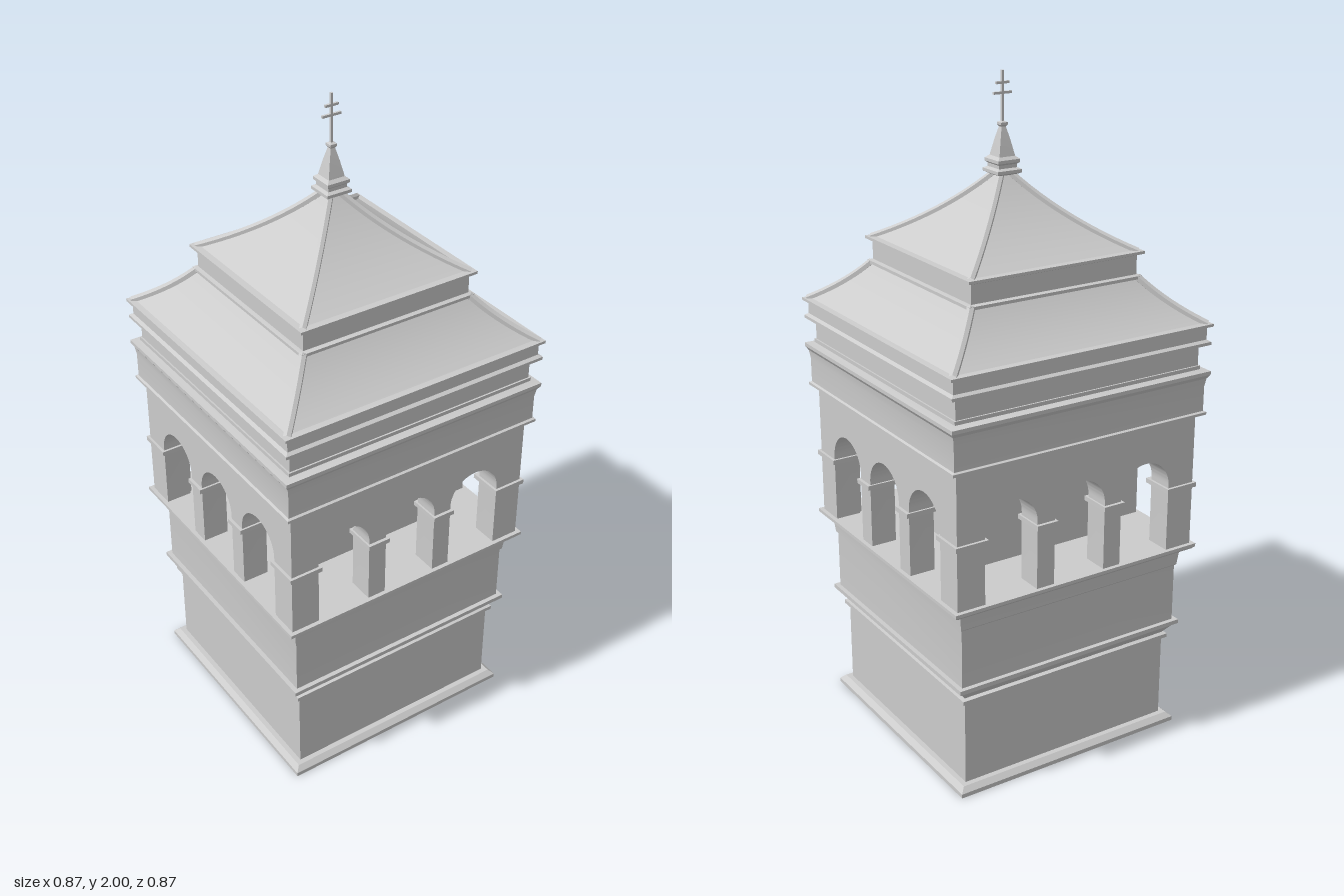
import * as THREE from 'three';
import { toCreasedNormals } from 'three/addons/utils/BufferGeometryUtils.js';

const material = new THREE.MeshStandardMaterial({ color: 0xcccccc });

function addMesh(parent, name, geometry, x = 0, y = 0, z = 0) {
  const mesh = new THREE.Mesh(geometry, material);
  mesh.name = name;
  mesh.position.set(x, y, z);
  parent.add(mesh);
  return mesh;
}

// Sweeps a [halfWidth, y] profile round a square plan
function squareLathe(profile) {
  const points = profile.map(([half, y]) => new THREE.Vector2(half * Math.SQRT2, y));
  return toCreasedNormals(new THREE.LatheGeometry(points, 4, Math.PI / 4), 0.35);
}

// Samples a hollow-curved roof slope between its eave and its top
function roofSlope(eave, middle, top, steps = 10) {
  const curve = new THREE.QuadraticBezierCurve(
    new THREE.Vector2(...eave), new THREE.Vector2(...middle), new THREE.Vector2(...top));
  return curve.getPoints(steps).map(p => [p.x, p.y]);
}

// Capping ribs along the four hips of a roof
function addHipRibs(parent, name, slope, radius) {
  const path = new THREE.CatmullRomCurve3(slope.map(([h, y]) => new THREE.Vector3(h, y, h)));
  const rib = toCreasedNormals(new THREE.TubeGeometry(path, 12, radius, 6), 0.4);
  for (let i = 0; i < 4; i++) addMesh(parent, name, rib).rotation.y = i * Math.PI / 2;
}

// One gallery wall with three round-headed openings standing on the floor
function arcadeWall() {
  const half = 0.405, floor = 0.62, spring = 0.83, radius = 0.086, depth = 0.08;
  const shape = new THREE.Shape();
  shape.moveTo(-half, floor);
  for (const cx of [-0.23, 0, 0.23]) {
    shape.lineTo(cx - radius, floor);
    shape.lineTo(cx - radius, spring);
    shape.absarc(cx, spring, radius, Math.PI, 0, true);
    shape.lineTo(cx + radius, floor);
  }
  shape.lineTo(half, floor);
  shape.lineTo(half, 1.037);
  shape.lineTo(-half, 1.037);
  shape.closePath();
  const geometry = new THREE.ExtrudeGeometry(shape, { depth, bevelEnabled: false, curveSegments: 20 });
  geometry.translate(0, 0, half - depth);
  return toCreasedNormals(geometry, 0.4);
}

export function createModel() {
  const tower = new THREE.Group();
  tower.name = 'bellTower';

  // Lower storeys with plinth, string courses and the gallery floor
  addMesh(tower, 'lowerStoreys', squareLathe([
    [0.345, 0], [0.385, 0], [0.385, 0.013], [0.37, 0.027], [0.354, 0.027],
    [0.354, 0.293], [0.366, 0.293], [0.366, 0.305], [0.354, 0.308],
    [0.383, 0.345], [0.389, 0.345], [0.389, 0.358], [0.375, 0.358],
    [0.375, 0.54], [0.38, 0.545], [0.385, 0.592], [0.39, 0.598], [0.41, 0.602],
    [0.418, 0.61], [0.418, 0.62], [0.2, 0.62],
  ]));

  // Hollow inside, narrowing at a ledge
  addMesh(tower, 'lowerInterior', squareLathe([
    [0, 0.58], [0.26, 0.58], [0.26, 0.3], [0.345, 0.3], [0.345, 0],
  ]));

  // Solid core behind the gallery
  addMesh(tower, 'galleryCore', new THREE.BoxGeometry(0.4, 0.39, 0.4), 0, 0.81, 0);

  // Arcaded gallery, one side repeated four times
  const wall = arcadeWall();
  for (let i = 0; i < 4; i++) {
    const side = new THREE.Group();
    side.name = 'gallerySide';
    side.rotation.y = i * Math.PI / 2;
    addMesh(side, 'arcadeWall', wall);
    for (const x of [-0.115, 0.115]) {
      addMesh(side, 'pierImpost', new THREE.BoxGeometry(0.07, 0.014, 0.1), x, 0.812, 0.365);
    }
    addMesh(side, 'cornerImpost', new THREE.BoxGeometry(0.105, 0.014, 0.105), 0.361, 0.812, 0.361);
    tower.add(side);
  }

  // Entablature from the gallery ceiling to the eaves
  addMesh(tower, 'entablature', squareLathe([
    [0, 1], [0.4, 1], [0.4, 1.034], [0.427, 1.034], [0.427, 1.042], [0.42, 1.045],
    [0.42, 1.12], [0.424, 1.145], [0.432, 1.157], [0.432, 1.168], [0.41, 1.172],
    [0.41, 1.183], [0.405, 1.183], [0.405, 1.243], [0.43, 1.247], [0.43, 1.256],
    [0.42, 1.262], [0.42, 1.297], [0.433, 1.302], [0.433, 1.31], [0.415, 1.312],
  ]));

  // Lower roof, attic band and upper roof
  const lowerSlope = roofSlope([0.42, 1.308], [0.335, 1.36], [0.275, 1.435]);
  addMesh(tower, 'lowerRoof', squareLathe(lowerSlope));
  addHipRibs(tower, 'lowerHipRib', lowerSlope, 0.012);
  addMesh(tower, 'atticBand', squareLathe([
    [0.27, 1.425], [0.286, 1.43], [0.286, 1.439], [0.274, 1.442], [0.274, 1.497],
    [0.29, 1.503], [0.29, 1.511], [0.27, 1.512],
  ]));
  const upperSlope = roofSlope([0.276, 1.508], [0.12, 1.59], [0.012, 1.72], 14);
  addMesh(tower, 'upperRoof', squareLathe(upperSlope));
  addHipRibs(tower, 'upperHipRib', upperSlope, 0.011);

  // Square finial and spike
  addMesh(tower, 'finial', squareLathe([
    [0, 1.712], [0.028, 1.712], [0.04, 1.718], [0.04, 1.727], [0.03, 1.732], [0.03, 1.742],
    [0.036, 1.747], [0.036, 1.756], [0.026, 1.764], [0.016, 1.81], [0.007, 1.845],
    [0.011, 1.85], [0.011, 1.857], [0, 1.862],
  ]));

  // Cross with two bars
  addMesh(tower, 'crossPost', new THREE.BoxGeometry(0.007, 0.145, 0.007), 0, 1.9275, 0);
  for (const [y, width] of [[1.938, 0.06], [1.966, 0.042]]) {
    addMesh(tower, 'crossBar', new THREE.BoxGeometry(width, 0.007, 0.007), 0, y, 0);
  }

  return tower;
}
